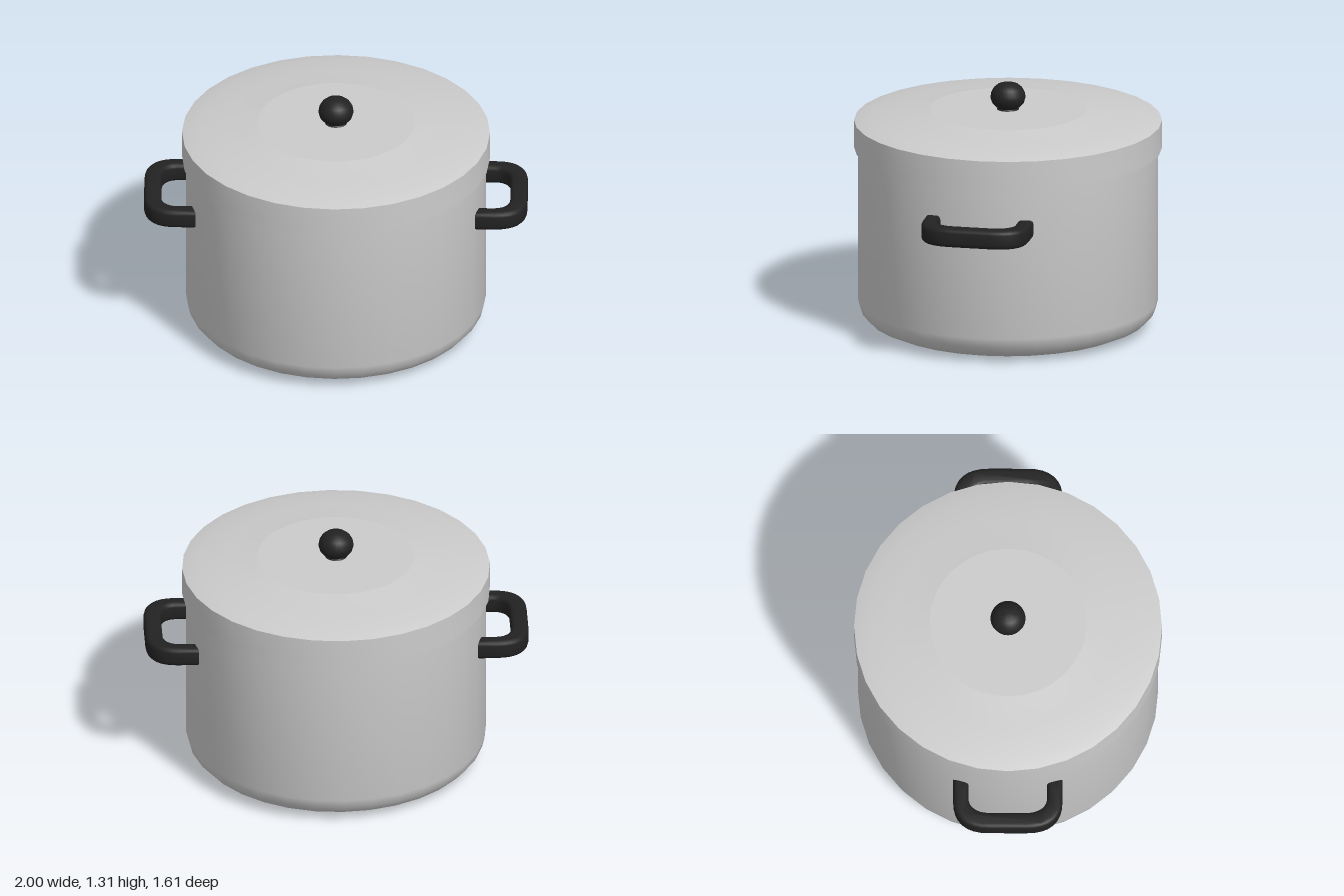
import * as THREE from 'three';
import { toCreasedNormals } from 'three/addons/utils/BufferGeometryUtils.js';

const SIDES = 32;

function lathe(profile, sides = SIDES) {
  const points = profile.map(([r, y]) => new THREE.Vector2(r, y));
  return toCreasedNormals(new THREE.LatheGeometry(points, sides), 1.3);
}

// U-shaped grip drawn in plan (x outwards, y across), then laid flat
function handleGeometry() {
  const bevel = 0.022;
  const s = new THREE.Shape();
  const out = 0.285 - bevel, inn = 0.205 + bevel;
  const xEnd = 0.725 + bevel, xOut = 1 - bevel, xIn = 0.91 + bevel;
  s.moveTo(xEnd, -out);
  s.lineTo(0.83, -out);
  s.bezierCurveTo(0.93, -out, xOut, -0.21, xOut, -0.1);
  s.lineTo(xOut, 0.1);
  s.bezierCurveTo(xOut, 0.21, 0.93, out, 0.83, out);
  s.lineTo(xEnd, out);
  s.lineTo(xEnd, inn);
  s.lineTo(0.83, inn);
  s.bezierCurveTo(0.89, inn, xIn, 0.17, xIn, 0.1);
  s.lineTo(xIn, -0.1);
  s.bezierCurveTo(xIn, -0.17, 0.89, -inn, 0.83, -inn);
  s.lineTo(xEnd, -inn);
  s.closePath();
  const g = new THREE.ExtrudeGeometry(s, {
    depth: 0.1 - 2 * bevel, bevelEnabled: true, bevelThickness: bevel,
    bevelSize: bevel, bevelSegments: 3, curveSegments: 8,
  });
  g.translate(0, 0, -(0.05 - bevel));
  g.rotateX(-Math.PI / 2);
  return toCreasedNormals(g, 0.8);
}

export function createModel() {
  const model = new THREE.Group();
  model.name = 'cookingPot';
  const steel = new THREE.MeshStandardMaterial({ color: 0xcccccc });
  const black = new THREE.MeshStandardMaterial({ color: 0x222222 });

  const add = (name, geometry, material) => {
    const mesh = new THREE.Mesh(geometry, material);
    mesh.name = name;
    model.add(mesh);
    return mesh;
  };

  // Hollow body with a rounded base
  add('body', lathe([
    [0, 0], [0.56, 0], [0.66, 0.014], [0.73, 0.045], [0.77, 0.09], [0.783, 0.14],
    [0.783, 1.05], [0.755, 1.05], [0.755, 0.14], [0.68, 0.05], [0, 0.04],
  ]), steel);

  // Lid: skirt and shallow slope, with a flat disc in the middle
  add('lid', lathe([
    [0.785, 1.06], [0.785, 0.96], [0.803, 0.96], [0.803, 1.108],
    [0.73, 1.128], [0.58, 1.144], [0.41, 1.168],
  ]), steel);
  const centre = add('lidCentre', new THREE.CircleGeometry(0.41, SIDES), steel);
  centre.rotation.x = -Math.PI / 2;
  centre.position.y = 1.168;

  // Knob on a short neck
  add('knob', lathe([
    [0.06, 1.165], [0.052, 1.175], [0.068, 1.186], [0.084, 1.205], [0.092, 1.233],
    [0.088, 1.258], [0.075, 1.282], [0.054, 1.3], [0.028, 1.309], [0, 1.312],
  ], 24), black);

  // Matching side handles
  const grip = handleGeometry();
  for (const side of [1, -1]) {
    const handle = add(side > 0 ? 'leftHandle' : 'rightHandle', grip, black);
    handle.position.y = 0.735;
    handle.rotation.y = side > 0 ? 0 : Math.PI;
  }
  return model;
}
